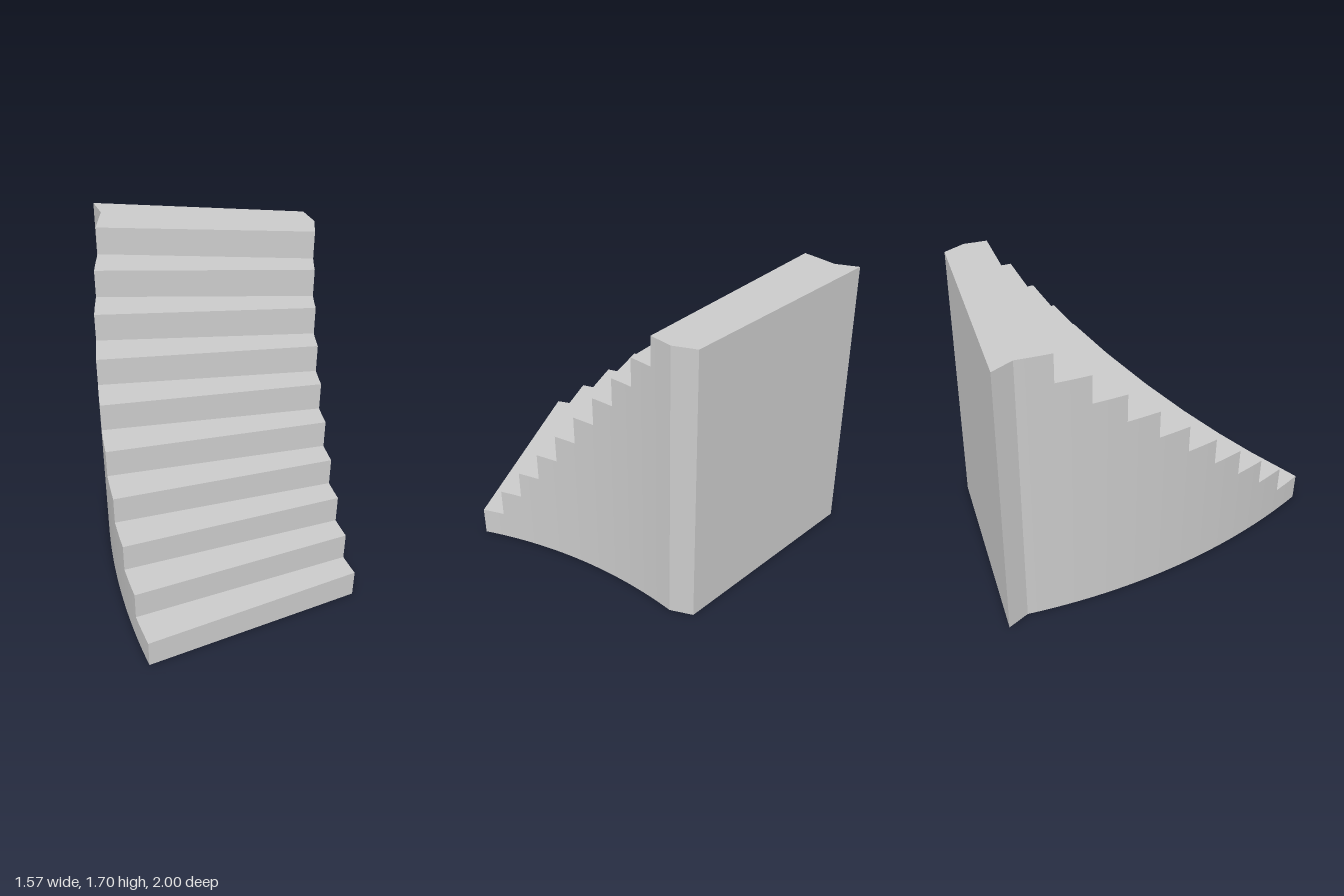
import * as THREE from 'three';

const STEPS = 10, RISE = 0.17, HEIGHT = STEPS * RISE;
const CENTRE_X = 3.025, R_NEAR = 2.57, R_FAR = 3.81; // turning centre lies on z = 1
const STEP_ANGLE = THREE.MathUtils.degToRad(2.93);
const SUB = 4; // slices per step along the curved sides
const BACK = 0.137; // straight extension behind the last step

// Point on the curved plan at radius r, turned by angle a, at height y
const at = (r, a, y) => [CENTRE_X - r * Math.cos(a), y, 1 - r * Math.sin(a)];
const behind = ([x, y, z]) => [x, y, z - BACK];

// Open surface from quads [a, b, c, d], counter-clockwise from outside;
// an optional fifth entry holds the four corner normals
function surface(name, quads, material) {
  const pos = [], nor = [];
  for (const [a, b, c, d, normals] of quads) {
    const corners = [a, b, c, d];
    const v = corners.map(p => new THREE.Vector3(...p));
    const flat = v[1].clone().sub(v[0]).cross(v[2].clone().sub(v[0])).normalize().toArray();
    for (const i of [0, 1, 2, 0, 2, 3]) {
      pos.push(...corners[i]);
      nor.push(...(normals ? normals[i] : flat));
    }
  }
  const geometry = new THREE.BufferGeometry();
  geometry.setAttribute('position', new THREE.Float32BufferAttribute(pos, 3));
  geometry.setAttribute('normal', new THREE.Float32BufferAttribute(nor, 3));
  const mesh = new THREE.Mesh(geometry, material);
  mesh.name = name;
  return mesh;
}

// Curved stepped side wall; sign +1 faces the turning centre, -1 faces away
function sideWall(r, sign) {
  const quads = [];
  const normal = a => [sign * Math.cos(a), 0, sign * Math.sin(a)];
  for (let i = 0; i < STEPS * SUB; i++) {
    const top = (Math.floor(i / SUB) + 1) * RISE;
    let a0 = (i / SUB) * STEP_ANGLE, a1 = ((i + 1) / SUB) * STEP_ANGLE;
    if (sign < 0) [a0, a1] = [a1, a0];
    const n0 = normal(a0), n1 = normal(a1);
    quads.push([at(r, a0, 0), at(r, a1, 0), at(r, a1, top), at(r, a0, top), [n0, n1, n1, n0]]);
  }
  return quads;
}

export function createModel() {
  const group = new THREE.Group();
  group.name = 'curvedStaircase';
  const material = new THREE.MeshStandardMaterial({ color: 0xcccccc, side: THREE.DoubleSide });

  // Risers and treads, fanning round the turning centre
  const risers = [], treads = [];
  for (let i = 0; i < STEPS; i++) {
    const a = i * STEP_ANGLE, y0 = i * RISE, y1 = y0 + RISE;
    risers.push([at(R_FAR, a, y0), at(R_NEAR, a, y0), at(R_NEAR, a, y1), at(R_FAR, a, y1)]);
    for (let s = 0; s < SUB; s++) {
      const b0 = a + (s / SUB) * STEP_ANGLE, b1 = a + ((s + 1) / SUB) * STEP_ANGLE;
      treads.push([at(R_FAR, b0, y1), at(R_NEAR, b0, y1), at(R_NEAR, b1, y1), at(R_FAR, b1, y1)]);
    }
  }
  group.add(surface('risers', risers, material), surface('treads', treads, material));

  // Curved sides, open underneath
  group.add(surface('leftSide', sideWall(R_NEAR, 1), material));
  group.add(surface('rightSide', sideWall(R_FAR, -1), material));

  // Straight end behind the top step: top, bottom, two cheeks and back wall
  const end = STEPS * STEP_ANGLE;
  const n0 = at(R_NEAR, end, 0), n1 = at(R_NEAR, end, HEIGHT);
  const f0 = at(R_FAR, end, 0), f1 = at(R_FAR, end, HEIGHT);
  group.add(surface('backEnd', [
    [f1, n1, behind(n1), behind(f1)],
    [behind(f0), behind(n0), n0, f0],
    [n0, behind(n0), behind(n1), n1],
    [behind(f0), f0, f1, behind(f1)],
    [behind(n0), behind(f0), behind(f1), behind(n1)],
  ], material));

  return group;
}
